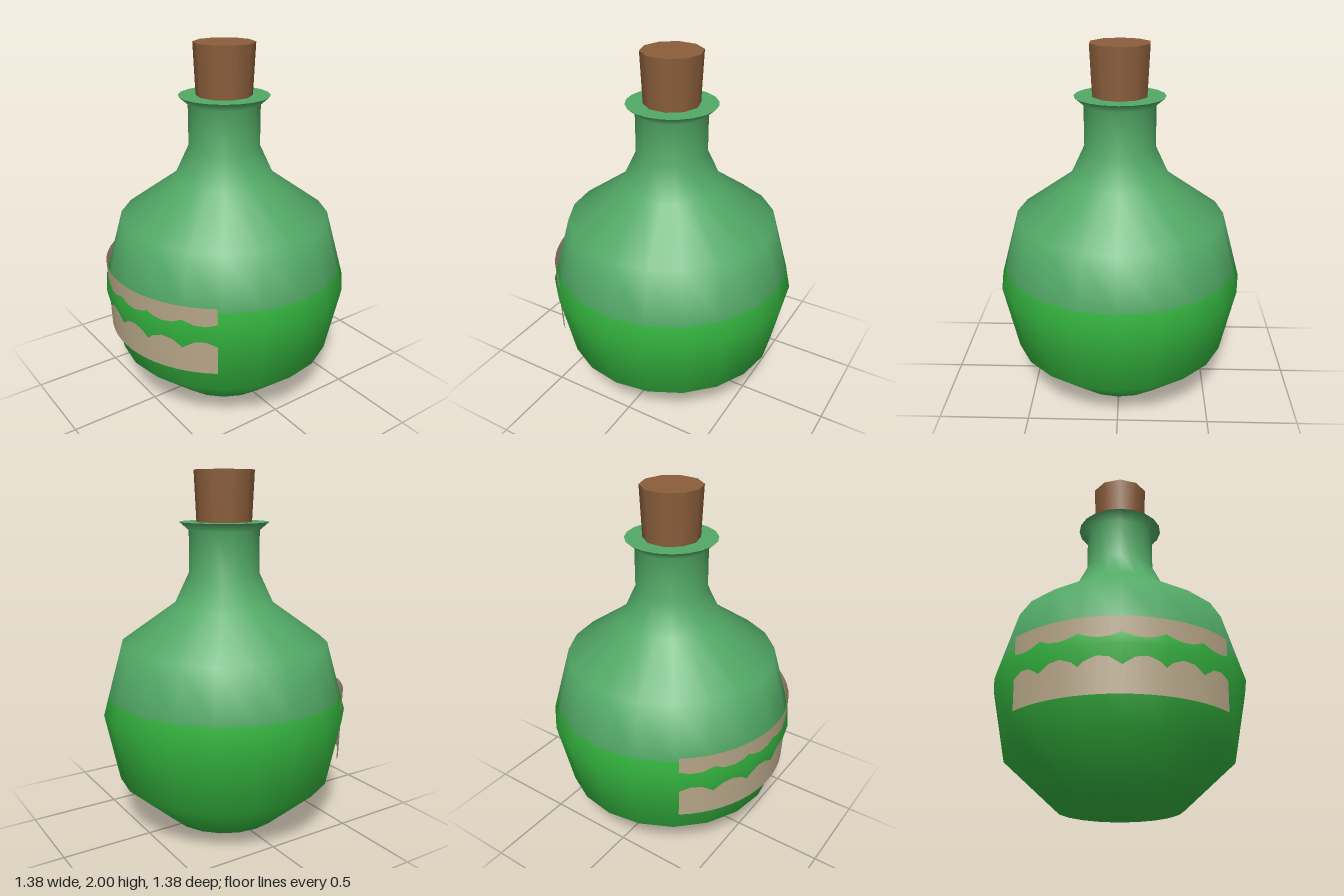
import * as THREE from 'three';

export function createModel() {
  const model = new THREE.Group();
  const mat = (name, color, side = THREE.FrontSide) => {
    const m = new THREE.MeshStandardMaterial({ color, side });
    m.name = name;
    return m;
  };
  const glass = mat('green glass', 0x52a966);
  const liquid = mat('bright green liquid', 0x36b941);
  const cork = mat('cork brown', 0x8b5e3b);
  const paper = mat('label paper', 0xb8a789, THREE.DoubleSide);

  const add = (name, geometry, material, y = 0) => {
    const mesh = new THREE.Mesh(geometry, material);
    mesh.name = name;
    mesh.position.y = y;
    model.add(mesh);
    return mesh;
  };

  // Bottle: one turned shell, liquid colour below the fill line, glass above
  const sides = 20;
  const fillRow = 4;
  const profile = [
    [0, 0.005], [0.33, 0.035], [0.61, 0.285], [0.69, 0.67], [0.661, 0.775],
    [0.582, 1.06], [0.275, 1.28], [0.195, 1.45], [0.195, 1.68], [0.247, 1.725],
  ].map(([r, y]) => new THREE.Vector2(r, y));
  const rows = profile.length;
  const bottle = new THREE.LatheGeometry(profile, sides);

  // Keep the shading continuous across the fill line
  const normals = bottle.attributes.normal;
  const below = new THREE.Vector3(), above = new THREE.Vector3();
  for (let i = 0; i <= sides; i++) {
    const k = i * rows + fillRow;
    below.fromBufferAttribute(normals, k - 1);
    above.fromBufferAttribute(normals, k + 1);
    below.lerp(above, 0.27).normalize();
    normals.setXYZ(k, below.x, below.y, below.z);
  }

  // Sort the faces into the two colour groups
  const index = Array.from(bottle.index.array);
  const low = [], high = [];
  for (let i = 0; i < index.length; i += 3) {
    const tri = index.slice(i, i + 3);
    (tri.every((v) => v % rows <= fillRow) ? low : high).push(...tri);
  }
  bottle.setIndex([...low, ...high]);
  bottle.addGroup(0, low.length, 0);
  bottle.addGroup(low.length, high.length, 1);
  add('bottle', bottle, [liquid, glass]);

  // Flat lip closing the flared mouth
  const lip = new THREE.CircleGeometry(0.247, sides).rotateX(-Math.PI / 2);
  add('lip', lip, glass, 1.725);

  // Tapered stopper
  add('stopper', new THREE.CylinderGeometry(0.165, 0.151, 0.3, 10), cork, 1.85);

  // Curved label; the belly of the bottle pokes through its middle
  const arc = 1.805;
  const label = new THREE.CylinderGeometry(0.676, 0.664, 0.385, 20, 1, true, -arc / 2, arc);
  add('label', label, paper, 0.6175);

  return model;
}
